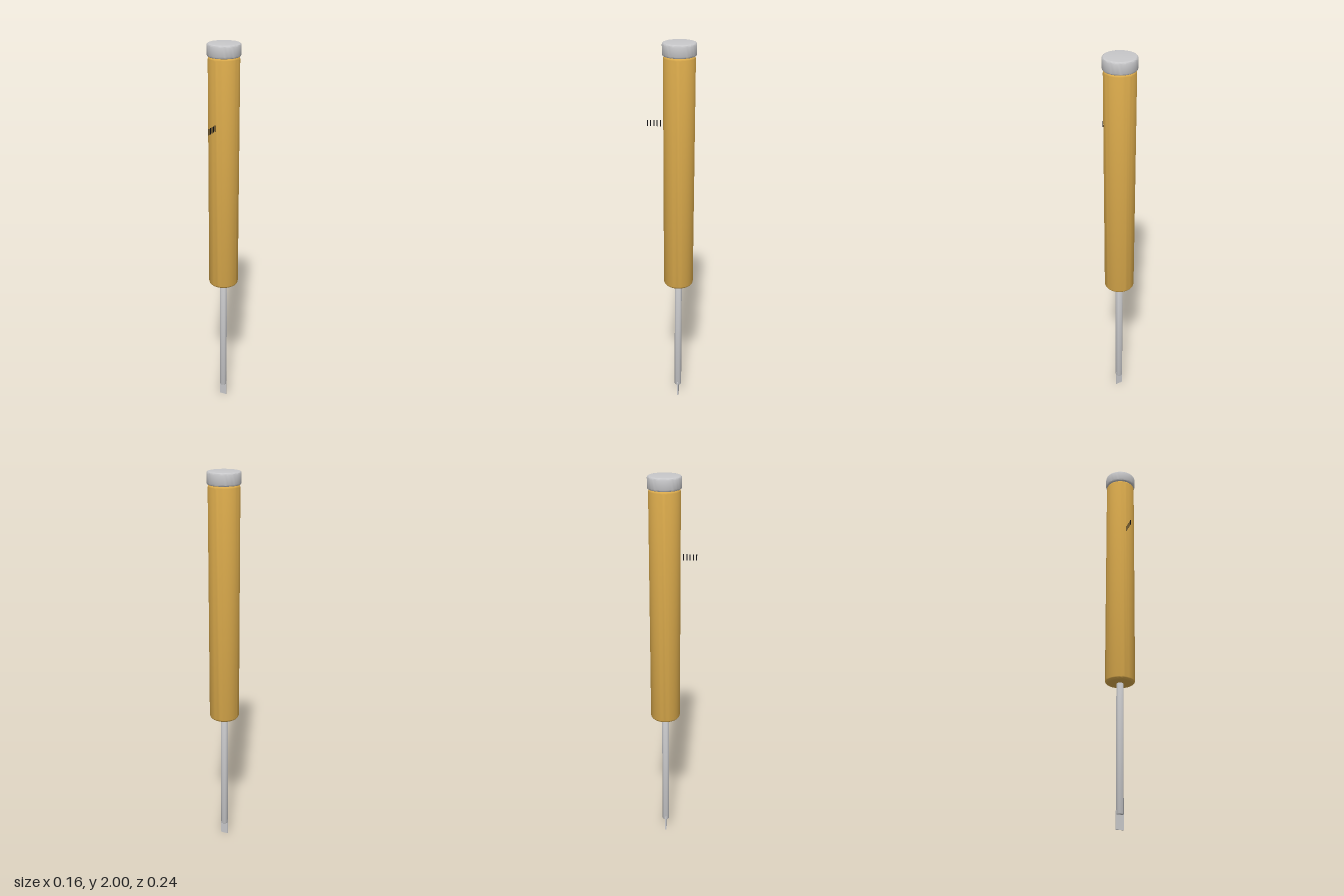
import * as THREE from 'three';
import { toCreasedNormals } from 'three/addons/utils/BufferGeometryUtils.js';

const AXIS_Z = -0.038;

// Solid of revolution with rounded rims, from y0 to y1
function roundedRod(radius, y0, y1, bevelBottom, bevelTop) {
  const steps = 6;
  const points = [new THREE.Vector2(0, y0)];
  for (let i = 0; i <= steps; i++) {
    const a = (i / steps) * Math.PI / 2;
    points.push(new THREE.Vector2(radius - bevelBottom * (1 - Math.sin(a)), y0 + bevelBottom * (1 - Math.cos(a))));
  }
  for (let i = 0; i <= steps; i++) {
    const a = (i / steps) * Math.PI / 2;
    points.push(new THREE.Vector2(radius - bevelTop * (1 - Math.cos(a)), y1 - bevelTop * (1 - Math.sin(a))));
  }
  points.push(new THREE.Vector2(0, y1));
  return toCreasedNormals(new THREE.LatheGeometry(points, 48), 0.6);
}

export function createModel() {
  const model = new THREE.Group();
  model.name = 'screwdriver';

  const amber = new THREE.MeshStandardMaterial({ color: 0xd9a94b });
  amber.name = 'amber handle';
  const steel = new THREE.MeshStandardMaterial({ color: 0xc8c8ca });
  steel.name = 'steel';
  const black = new THREE.MeshStandardMaterial({ color: 0x101014 });
  black.name = 'black marking';

  function add(name, geometry, material, x = 0, y = 0, z = AXIS_Z) {
    const mesh = new THREE.Mesh(geometry, material);
    mesh.name = name;
    mesh.position.set(x, y, z);
    model.add(mesh);
  }

  // Grip and end cap
  add('handle', roundedRod(0.077, 0.73, 1.942, 0.018, 0.018), amber);
  add('endCap', roundedRod(0.082, 1.938, 2, 0.009, 0.009), steel);

  // Shaft with the flat blade set into its end
  add('shaft', roundedRod(0.0188, 0.07, 0.74, 0.004, 0.002), steel);
  add('blade', new THREE.BoxGeometry(0.039, 0.09, 0.007), steel, 0, 0.045);

  // Row of plain upright ticks standing off the front of the grip
  for (let i = 0; i < 5; i++) {
    add('tickMark', new THREE.BoxGeometry(0.002, 0.03, 0.005), black, 0, 1.61, 0.117 - i * 0.016);
  }

  return model;
}
